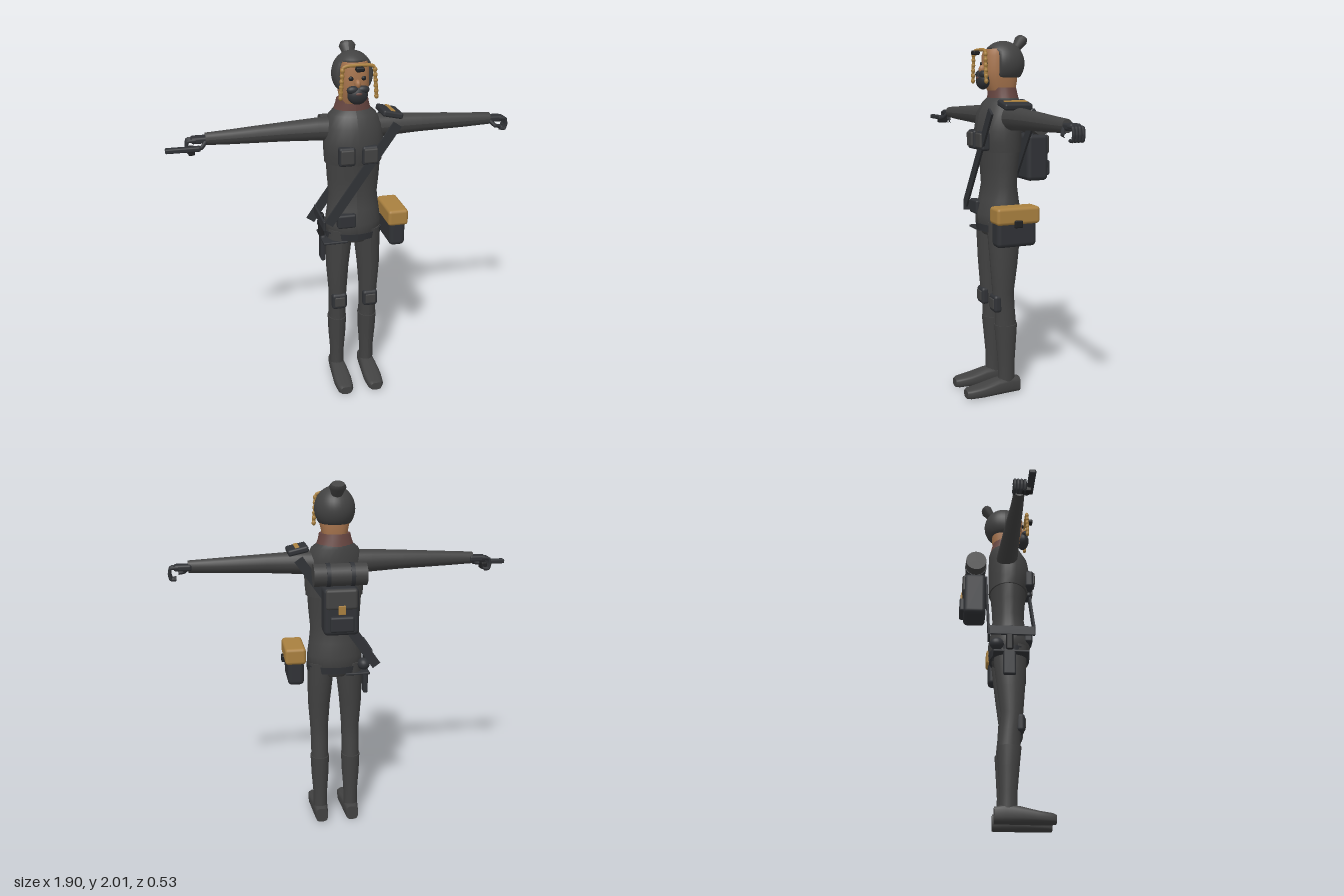
import * as THREE from 'three';
import { RoundedBoxGeometry } from 'three/addons/geometries/RoundedBoxGeometry.js';

const paint = (name, color) => {
  const m = new THREE.MeshStandardMaterial({ color });
  m.name = name;
  return m;
};

export function createModel() {
  const suit = paint('charcoal suit', 0x424242);
  const gear = paint('dark gear', 0x303236);
  const black = paint('black', 0x202123);
  const gold = paint('tan gold', 0xa9803f);
  const skin = paint('skin', 0xa8754e);
  const collarRed = paint('collar brown', 0x664540);

  const root = new THREE.Group();
  root.name = 'explorer';
  const C = 0.05; // body midline

  const add = (name, geo, mat, parent = root) => {
    const m = new THREE.Mesh(geo, mat);
    m.name = name;
    parent.add(m);
    return m;
  };
  // rounded block from its bounds
  const box = (name, mat, [x0, x1], [y0, y1], [z0, z1], r = 0.01) => {
    const m = add(name, new RoundedBoxGeometry(x1 - x0, y1 - y0, z1 - z0, 2, r), mat);
    m.position.set((x0 + x1) / 2, (y0 + y1) / 2, (z0 + z1) / 2);
    return m;
  };
  // elliptical sections, highest first: [y, cx, cz, rx, rz]; power < 1 squares them off
  const loft = (rows, power = 1, sides = 24) => {
    const g = new THREE.CylinderGeometry(1, 1, 1, sides, rows.length - 1);
    const p = g.attributes.position;
    const sq = (v) => Math.sign(v) * Math.abs(v) ** power;
    for (let i = 0; i < p.count; i++) {
      const [y, cx, cz, rx, rz] = rows[Math.round((0.5 - p.getY(i)) * (rows.length - 1))];
      p.setXYZ(i, cx + rx * sq(p.getX(i)), y, cz + rz * sq(p.getZ(i)));
    }
    g.computeVertexNormals();
    return g;
  };
  const ball = (name, mat, pos, scale) => {
    const m = add(name, new THREE.SphereGeometry(1, 20, 14), mat);
    m.position.set(...pos);
    m.scale.set(...scale);
    return m;
  };
  const tube = (name, mat, pts, r) => add(name, new THREE.TubeGeometry(
    new THREE.CatmullRomCurve3(pts.map((p) => new THREE.Vector3(...p)), false, 'catmullrom', 0.2), 24, r, 8), mat);

  // torso: vest above, body and hips below
  add('vest', loft([
    [1.68, C, 0.0, 0.095, 0.08], [1.65, C, 0.01, 0.13, 0.10], [1.59, C, 0.025, 0.158, 0.117],
    [1.50, C, 0.032, 0.167, 0.123], [1.44, C, 0.03, 0.165, 0.121], [1.385, C, 0.025, 0.16, 0.115],
  ]), suit);
  add('lowerTorso', loft([
    [1.40, C, 0.025, 0.153, 0.108], [1.30, C, 0.025, 0.147, 0.098], [1.20, C, 0.025, 0.138, 0.092],
    [1.12, C, 0.027, 0.147, 0.105], [1.04, C, 0.03, 0.158, 0.122], [0.97, C, 0.03, 0.16, 0.116],
    [0.92, C, 0.03, 0.10, 0.085],
  ]), suit);
  add('hipBelt', loft([[0.985, C, 0.03, 0.163, 0.12], [0.945, C, 0.03, 0.159, 0.115]]), gear);
  add('collar', loft([[1.73, C, 0.005, 0.086, 0.075], [1.70, C, 0.003, 0.092, 0.08], [1.665, C, 0, 0.104, 0.085]]), collarRed);

  // head with swept hair
  add('head', loft([
    [1.935, C, 0.02, 0.07, 0.085], [1.90, C, 0.022, 0.08, 0.094], [1.82, C, 0.022, 0.08, 0.094],
    [1.77, C, 0.018, 0.077, 0.092], [1.715, C, 0.01, 0.066, 0.075],
  ], 0.75), skin);
  const hairGeo = new THREE.SphereGeometry(0.12, 32, 24);
  const hp = hairGeo.attributes.position;
  for (let i = 0; i < hp.count; i++) {
    const y = Math.max(hp.getY(i), -0.077);
    hp.setXYZ(i, hp.getX(i) * 0.92, y, y < 0.068 ? Math.min(hp.getZ(i), 0.055) : hp.getZ(i));
  }
  hairGeo.computeVertexNormals();
  add('hair', hairGeo, suit).position.set(C, 1.86, 0);
  const bun = add('hairBun', loft([
    [0.055, 0, 0, 0.035, 0.025], [0.035, 0, 0, 0.046, 0.034], [-0.045, 0, 0, 0.02, 0.018],
  ], 1, 14), suit);
  bun.position.set(C, 1.955, -0.088);
  bun.rotation.x = -0.6;

  // face
  for (const s of [-1, 1]) {
    ball('eye', black, [C + s * 0.034, 1.856, 0.112], [0.013, 0.012, 0.009]);
    ball('moustache', gear, [C + s * 0.027, 1.8, 0.128], [0.034, 0.022, 0.02]);
    tube('hairBraid', gold, [
      [C, 1.93, 0.137], [C + s * 0.06, 1.928, 0.137], [C + s * 0.083, 1.918, 0.137],
      [C + s * 0.088, 1.86, 0.138], [C + s * 0.094, 1.80, 0.14], [C + s * 0.096, 1.76, 0.138],
    ], 0.009);
    for (let i = 0; i < 6; i++) {
      ball('braidKnot', gold, [C + s * (0.086 + i * 0.002), 1.905 - i * 0.028, 0.138], [0.012, 0.014, 0.011]);
    }
  }
  ball('nose', skin, [C, 1.828, 0.12], [0.016, 0.024, 0.022]);
  ball('beard', gear, [C, 1.77, 0.118], [0.055, 0.05, 0.036]);
  ball('mouth', collarRed, [C, 1.782, 0.149], [0.018, 0.008, 0.006]);
  box('hairClip', black, [0.028, 0.072], [1.902, 1.927], [0.142, 0.18], 0.008);

  // limbs
  for (const s of [-1, 1]) {
    const arm = loft([
      [0.79, 1.565, 0.025, 0.033, 0.028], [0.65, 1.566, 0.024, 0.04, 0.034],
      [0.52, 1.568, 0.02, 0.046, 0.041], [0.38, 1.57, 0.017, 0.052, 0.048],
      [0.2, 1.57, 0.013, 0.062, 0.058], [0.08, 1.565, 0.01, 0.07, 0.065],
    ].map(([y, cx, ...rest]) => [y, -s * cx, ...rest]), 1, 18);
    arm.rotateZ(-s * Math.PI / 2);
    add('arm', arm, suit).position.x = C;

    const X = C + s * 0.092;
    add('leg', loft([
      [1.0, X - s * 0.01, 0.03, 0.074, 0.1], [0.9, X - s * 0.008, 0.03, 0.073, 0.092],
      [0.75, X, 0.034, 0.064, 0.078], [0.6, X, 0.038, 0.053, 0.062],
      [0.5, X, 0.028, 0.05, 0.058], [0.4, X, 0.022, 0.05, 0.062],
    ]), suit);
    add('boot', loft([
      [0.41, X, 0.022, 0.055, 0.067], [0.3, X, 0.02, 0.051, 0.058],
      [0.18, X, 0.018, 0.042, 0.049], [0.06, X, 0.017, 0.041, 0.049],
    ]), suit);
    // shoe: sections from heel to toe, laid along z
    const shoe = loft([
      [0.265, X, -0.026, 0.032, 0.024], [0.245, X, -0.029, 0.046, 0.028], [0.17, X, -0.034, 0.053, 0.034],
      [0.08, X, -0.045, 0.048, 0.045], [0.0, X, -0.049, 0.043, 0.049], [-0.057, X, -0.043, 0.036, 0.043],
    ], 0.65, 20);
    shoe.rotateX(Math.PI / 2);
    shoe.translate(0, 0, 0);
    const sp = shoe.attributes.position;
    for (let i = 0; i < sp.count; i++) sp.setY(i, Math.max(0, sp.getY(i)));
    shoe.computeVertexNormals();
    add('shoe', shoe, suit);
    box('kneePad', gear, [X - 0.044, X + 0.044], [0.49, 0.59], [0.06, 0.107], 0.018);
    box('kneePadRidge', suit, [X - 0.03, X + 0.03], [0.51, 0.57], [0.098, 0.112], 0.006);

    // hand with curled fingers
    const hx = (d) => C + s * d;
    const span = (a, b) => [hx(a), hx(b)].sort((p, q) => p - q);
    box('palm', gear, span(0.77, 0.865), [1.545, 1.58], [-0.012, 0.05], 0.012);
    for (let i = 0; i < 4; i++) {
      const z = -0.006 + i * 0.017;
      tube('finger', gear, [
        [hx(0.84), 1.565, z], [hx(0.882), 1.562, z], [hx(0.889), 1.53, z], [hx(0.882), 1.503, z], [hx(0.855), 1.503, z],
      ], 0.0085);
    }
    tube('thumb', gear, [[hx(0.79), 1.555, 0.045], [hx(0.815), 1.53, 0.062], [hx(0.845), 1.525, 0.06]], 0.011);

    // chest pouches
    const px = C + s * 0.064;
    box('chestPouch', gear, [px - 0.045, px + 0.045], [1.395, 1.5], [0.12, 0.168], 0.014);
    box('pouchFlap', suit, [px - 0.037, px + 0.037], [1.41, 1.49], [0.16, 0.178], 0.008);
  }

  // tool held in the right hand
  box('toolBarrel', gear, [-0.95, -0.77], [1.517, 1.543], [0.055, 0.09], 0.008);
  box('toolGrip', black, [-0.835, -0.8], [1.495, 1.535], [0.02, 0.08], 0.008);

  // cross-body strap
  for (const [z, len, y, x] of [[0.16, 0.66, 1.34, 0.07], [-0.097, 0.75, 1.3, 0.045]]) {
    const strap = add('crossStrap', new THREE.BoxGeometry(0.052, len, 0.012), gear);
    strap.position.set(x, y, z);
    strap.rotation.z = -0.61;
  }
  box('strapSide', gear, [-0.148, -0.135], [1.03, 1.085], [-0.1, 0.163], 0.004);
  const pad = new THREE.Group();
  pad.name = 'shoulderPad';
  add('padBase', new RoundedBoxGeometry(0.115, 0.035, 0.16, 2, 0.012), gear, pad);
  add('padStripe', new RoundedBoxGeometry(0.025, 0.008, 0.13, 1, 0.003), gold, pad).position.y = 0.018;
  pad.position.set(0.255, 1.643, 0.02);
  pad.rotation.z = -0.22;
  root.add(pad);

  // backpack with bedroll
  box('backpack', gear, [-0.045, 0.145], [1.215, 1.475], [-0.24, -0.11], 0.025);
  box('backpackFlap', suit, [-0.035, 0.135], [1.36, 1.47], [-0.25, -0.2], 0.015);
  box('backpackPocket', gear, [-0.015, 0.115], [1.24, 1.325], [-0.264, -0.22], 0.012);
  box('backpackBuckle', gold, [0.03, 0.07], [1.335, 1.385], [-0.257, -0.247], 0.004);
  const roll = new THREE.CylinderGeometry(0.06, 0.06, 0.285, 24);
  roll.rotateZ(Math.PI / 2);
  add('bedroll', roll, suit).position.set(C, 1.535, -0.172);
  for (const s of [-1, 1]) {
    const band = new THREE.CylinderGeometry(0.064, 0.064, 0.022, 24);
    band.rotateZ(Math.PI / 2);
    add('bedrollBand', band, gear).position.set(C + s * 0.065, 1.535, -0.172);
  }

  // satchel at the left hip
  box('satchelBody', gear, [0.237, 0.328], [0.89, 1.04], [-0.08, 0.15], 0.025);
  box('satchelFlap', gold, [0.226, 0.342], [1.015, 1.108], [-0.093, 0.157], 0.018);
  box('satchelClasp', black, [0.335, 0.354], [1.0, 1.04], [0.015, 0.06], 0.006);

  // belt pouch and holster
  box('beltPouch', gear, [-0.065, 0.04], [1.03, 1.11], [0.11, 0.158], 0.012);
  box('holsterStrap', gear, [-0.14, 0.0], [0.928, 0.942], [-0.07, 0.13], 0.005);
  box('holster', gear, [-0.14, -0.112], [0.795, 0.95], [-0.015, 0.055], 0.01);
  box('holsterGrip', black, [-0.147, -0.115], [0.94, 1.08], [0.0, 0.04], 0.01);
  ball('hipPouch', gear, [-0.105, 0.99, -0.05], [0.035, 0.035, 0.04]);
  return root;
}
